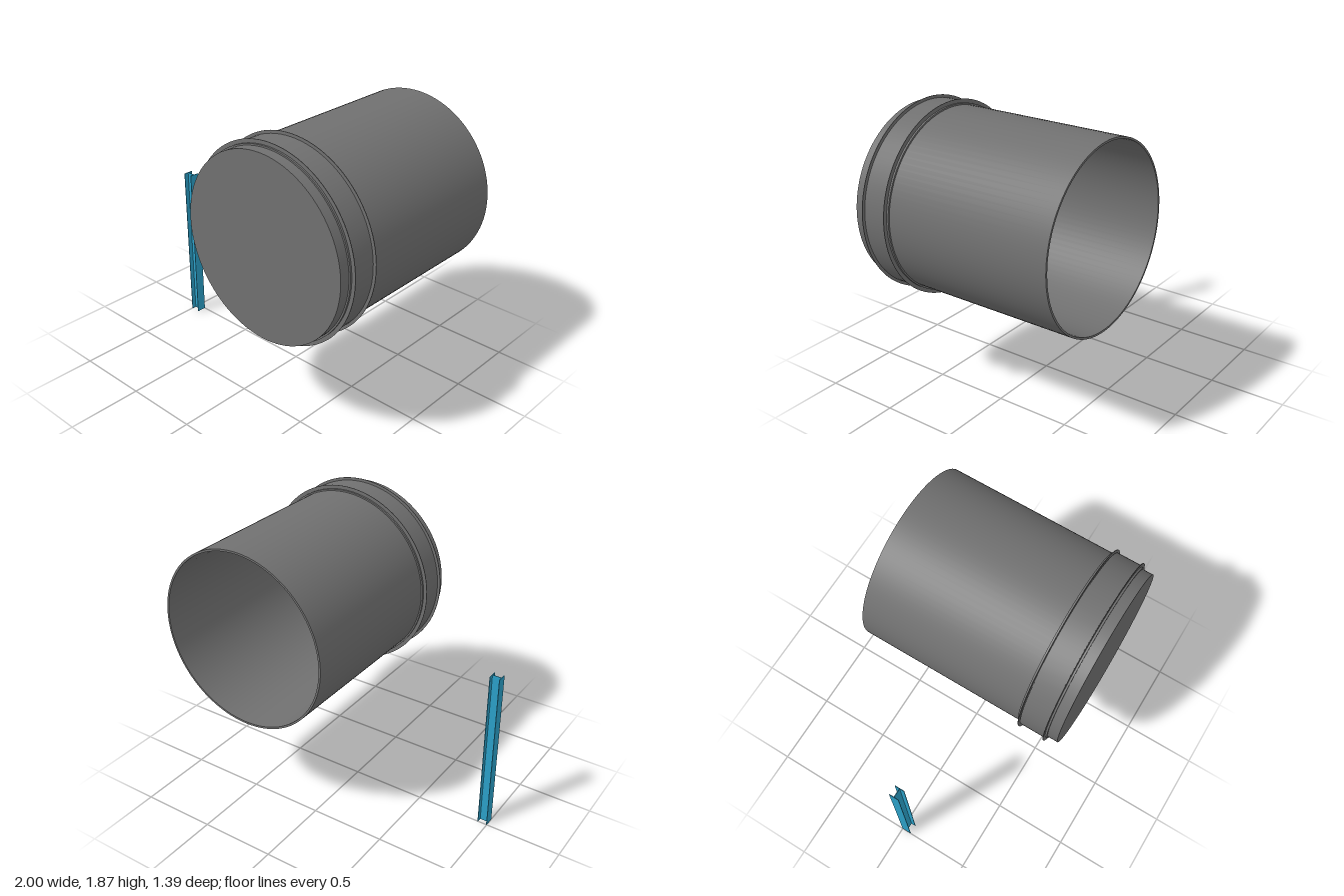
import * as THREE from 'three';
import { toCreasedNormals } from 'three/addons/utils/BufferGeometryUtils.js';

const SEGMENTS = 96;

// Lathe of (radius, z) points, turned so that its axis runs along z.
function lathe(name, profile, material) {
  const points = profile.map(([r, z]) => new THREE.Vector2(r, z));
  const geometry = new THREE.LatheGeometry(points, SEGMENTS).rotateX(Math.PI / 2);
  const mesh = new THREE.Mesh(toCreasedNormals(geometry, 0.5), material);
  mesh.name = name;
  return mesh;
}

// Closed ring of rectangular section.
function ring(name, inner, outer, z0, z1, material) {
  return lathe(name, [[inner, z0], [outer, z0], [outer, z1], [inner, z1], [inner, z0]], material);
}

export function createModel() {
  const model = new THREE.Group();
  const pipeGrey = new THREE.MeshStandardMaterial({ color: 0x707070 });
  pipeGrey.name = 'pipe grey';
  const postBlue = new THREE.MeshStandardMaterial({ color: 0x2ba0c8 });
  postBlue.name = 'post blue';

  // Pipe: thin wall, open at the back
  const pipe = new THREE.Group();
  pipe.name = 'pipe';
  pipe.position.set(0.375, 1.25, 0);
  pipe.add(ring('pipeWall', 0.573, 0.586, -0.695, 0.69, pipeGrey));

  // Flat disc closing the front
  const cap = new THREE.Mesh(
    new THREE.CylinderGeometry(0.586, 0.586, 0.006, SEGMENTS).rotateX(Math.PI / 2), pipeGrey);
  cap.name = 'frontCap';
  cap.position.z = 0.692;
  pipe.add(cap);

  // Stepped collar with a thin rim near each end
  pipe.add(lathe('collar', [
    [0.58, 0.425], [0.596, 0.425], [0.596, 0.445], [0.602, 0.445],
    [0.602, 0.61], [0.596, 0.61], [0.596, 0.628], [0.58, 0.628],
  ], pipeGrey));
  for (const [name, z] of [['rearRim', 0.44], ['frontRim', 0.614]]) {
    pipe.add(ring(name, 0.58, 0.62, z - 0.002, z + 0.002, pipeGrey));
  }
  model.add(pipe);

  // Post: H-section with flanges facing the sides
  const post = new THREE.Group();
  post.name = 'post';
  post.position.set(-0.967, 0.55, 0.032);
  const height = 1.1, width = 0.066, plate = 0.004;
  const addPlate = (name, w, d, x) => {
    const mesh = new THREE.Mesh(new THREE.BoxGeometry(w, height, d), postBlue);
    mesh.name = name;
    mesh.position.x = x;
    post.add(mesh);
  };
  addPlate('web', width - plate * 2, plate, 0);
  addPlate('leftFlange', plate, width, (width - plate) / 2);
  addPlate('rightFlange', plate, width, -(width - plate) / 2);
  model.add(post);

  return model;
}
